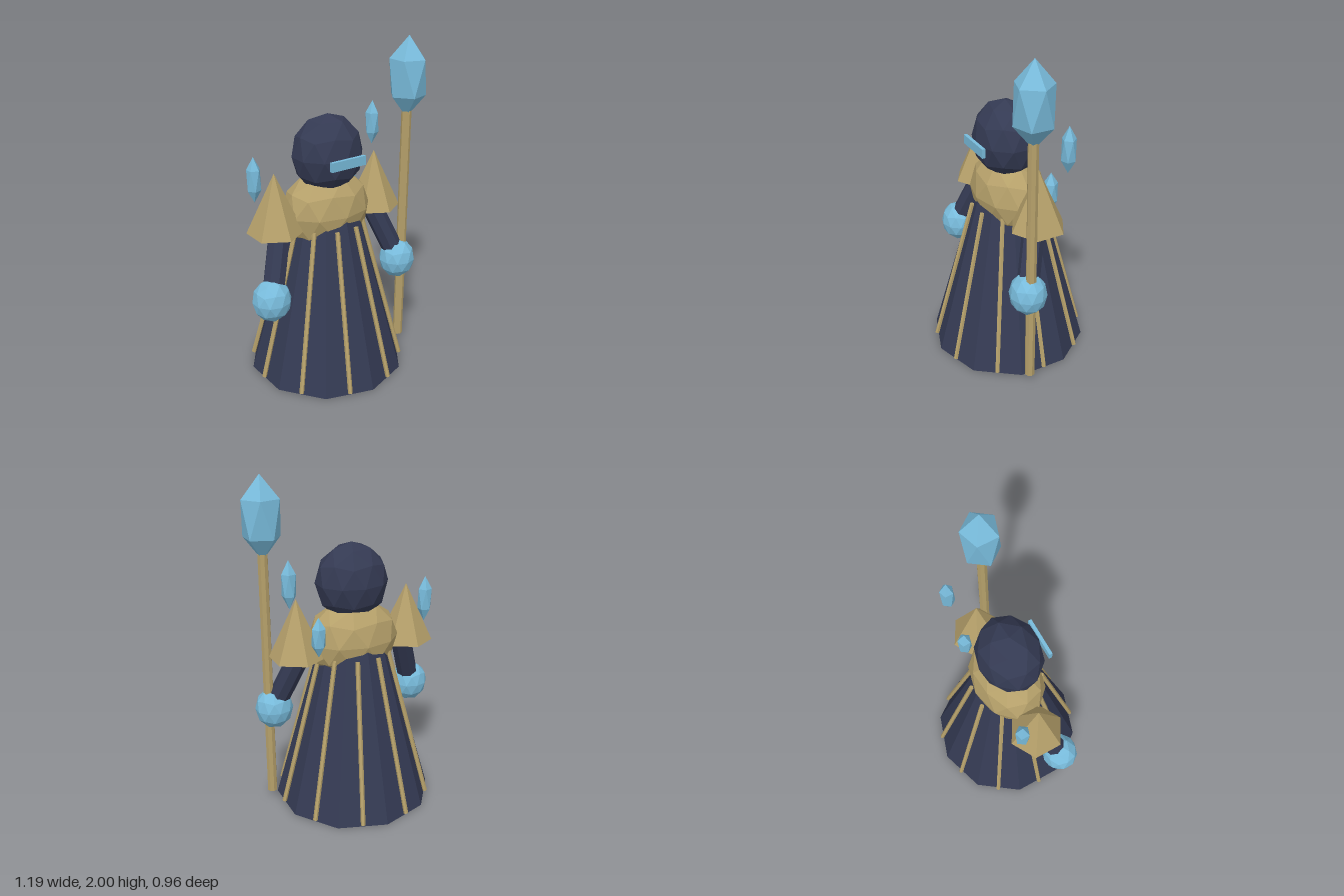
import * as THREE from 'three';

const navy = new THREE.MeshStandardMaterial({ color: 0x343a53 });
navy.name = 'navy cloth';
const gold = new THREE.MeshStandardMaterial({ color: 0xb5a06a });
gold.name = 'dull gold';
const cyan = new THREE.MeshStandardMaterial({ color: 0x78bbdb });
cyan.name = 'ice blue';

const MID = -0.02; // the figure's own centre line

export function createModel() {
  const model = new THREE.Group();
  model.name = 'robedMage';

  // Faceted mesh: split vertices so every face keeps its own normal
  function add(name, geometry, material, x = 0, y = 0, z = 0) {
    const flat = geometry.index ? geometry.toNonIndexed() : geometry;
    flat.computeVertexNormals();
    const mesh = new THREE.Mesh(flat, material);
    mesh.name = name;
    mesh.position.set(x, y, z);
    model.add(mesh);
    return mesh;
  }

  // Icosphere standing on a vertex, stretched to the given radii
  function ico(rx, ry, rz, detail) {
    const g = new THREE.IcosahedronGeometry(1, detail);
    g.rotateX(-Math.atan((1 + Math.sqrt(5)) / 2));
    g.rotateY(Math.PI / 2);
    g.scale(rx, ry, rz);
    return g;
  }

  // Straight rod between two points
  function rod(name, a, b, radius, sides, material) {
    const from = new THREE.Vector3(...a), to = new THREE.Vector3(...b);
    const dir = to.clone().sub(from);
    const mesh = add(name, new THREE.CylinderGeometry(radius, radius, dir.length(), sides), material);
    mesh.position.copy(from).add(to).multiplyScalar(0.5);
    mesh.quaternion.setFromUnitVectors(new THREE.Vector3(0, 1, 0), dir.normalize());
    return mesh;
  }

  // Robe with ten gold ribs, one down the middle of each face
  add('robe', new THREE.CylinderGeometry(0.175, 0.48, 1.09, 10), navy, MID, 0.545, 0);
  for (let i = 0; i < 10; i++) {
    const a = (i + 0.5) * Math.PI / 5;
    const s = Math.sin(a), c = Math.cos(a);
    rod('robeRib', [MID + 0.466 * s, 0.015, 0.466 * c], [MID + 0.215 * s, 0.95, 0.215 * c], 0.014, 6, gold);
  }

  // Collar, hood and visor
  add('collar', ico(0.283, 0.245, 0.21, 1), gold, MID, 1.025, 0);
  add('hood', ico(0.22, 0.235, 0.188, 1), navy, MID, 1.365, 0.015);
  add('visor', new THREE.BoxGeometry(0.235, 0.055, 0.02), cyan, MID, 1.355, 0.212);

  // Shoulder spikes, arms and hands, mirrored
  for (const s of [-1, 1]) {
    const side = s > 0 ? 'left' : 'right';
    add(side + 'ShoulderSpike', new THREE.ConeGeometry(0.165, 0.355, 6), gold, MID + s * 0.357, 1.133, 0);
    rod(side + 'Arm', [MID + s * 0.3, 1.06, -0.02], [MID + s * 0.455, 0.64, 0.115], 0.065, 8, navy);
    add(side + 'Hand', ico(0.115, 0.128, 0.11, 1), cyan, MID + s * 0.467, 0.605, 0.12);
  }

  // Staff and its crystal
  rod('staff', [0.48, 0.04, 0.12], [0.48, 1.56, 0.12], 0.03, 8, gold);
  add('staffCrystal', ico(0.125, 0.24, 0.122, 0), cyan, 0.48, 1.76, 0.12);

  // Shards floating behind the shoulders
  const shards = [[-0.43, 1.245, 0.137], [0.255, 1.108, 0.12], [0.425, 1.44, 0.138]];
  for (const [x, y, h] of shards) {
    add('floatingShard', ico(0.046, h, 0.046, 0), cyan, x, y, -0.13);
  }

  return model;
}
